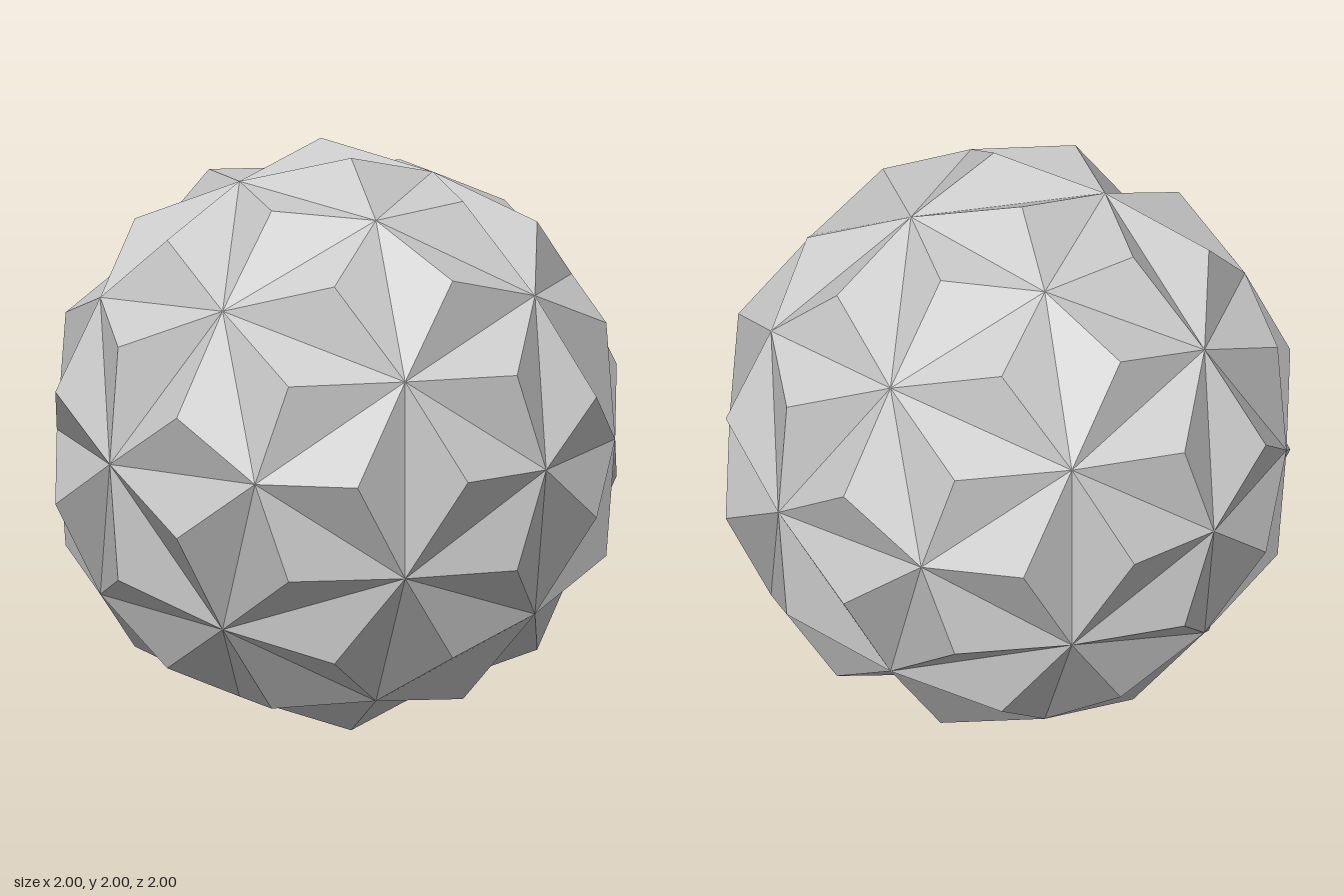
import * as THREE from 'three';

// Even cyclic permutations of (0, ±a, ±b)
function cyclic(a, b) {
  const points = [];
  for (const s of [1, -1]) {
    for (const t of [1, -1]) {
      const p = [0, s * a, t * b];
      for (let k = 0; k < 3; k++) {
        points.push(new THREE.Vector3(p[k], p[(k + 1) % 3], p[(k + 2) % 3]));
      }
    }
  }
  return points;
}

export function createModel() {
  const phi = (1 + Math.sqrt(5)) / 2;
  const c = 0.5565; // half side of the cube inside the dodecahedron
  const q = 0.519; // short coordinate of the icosahedron points

  // Twelve pentagon centres and twenty dodecahedron corners
  const centres = cyclic(q * phi, q);
  const corners = cyclic(c / phi, c * phi);
  for (const x of [c, -c]) for (const y of [c, -c]) for (const z of [c, -c]) {
    corners.push(new THREE.Vector3(x, y, z));
  }

  const edge = (2 * c) / phi;
  const tipScale = 1 / (q * phi + 2 * c * phi); // puts the outermost tips at 1
  const positions = [];
  const normal = new THREE.Vector3();
  const side = new THREE.Vector3();

  // Adds a triangle wound to face away from the middle
  function addFace(a, b, d) {
    normal.subVectors(b, a).cross(side.subVectors(d, a));
    const order = normal.dot(a) > 0 ? [a, b, d] : [a, d, b];
    for (const v of order) positions.push(v.x, v.y, v.z);
  }

  // Each centre and pentagon edge form a triangle carrying a three-sided spike
  for (const centre of centres) {
    const ring = corners.filter((p) => p.distanceTo(centre) < edge * 1.1);
    for (let i = 0; i < ring.length; i++) {
      for (let j = i + 1; j < ring.length; j++) {
        if (ring[i].distanceTo(ring[j]) > edge * 1.1) continue;
        const tip = centre.clone().add(ring[i]).add(ring[j]).multiplyScalar(tipScale);
        addFace(centre, ring[i], tip);
        addFace(ring[i], ring[j], tip);
        addFace(ring[j], centre, tip);
      }
    }
  }

  const geometry = new THREE.BufferGeometry();
  geometry.setAttribute('position', new THREE.Float32BufferAttribute(positions, 3));
  geometry.computeVertexNormals();

  const material = new THREE.MeshStandardMaterial({ color: 0xcccccc, flatShading: true });
  const ball = new THREE.Mesh(geometry, material);
  ball.name = 'spikedPolyhedron';
  ball.position.y = 1;

  const group = new THREE.Group();
  group.name = 'facetedBall';
  group.add(ball);
  return group;
}
